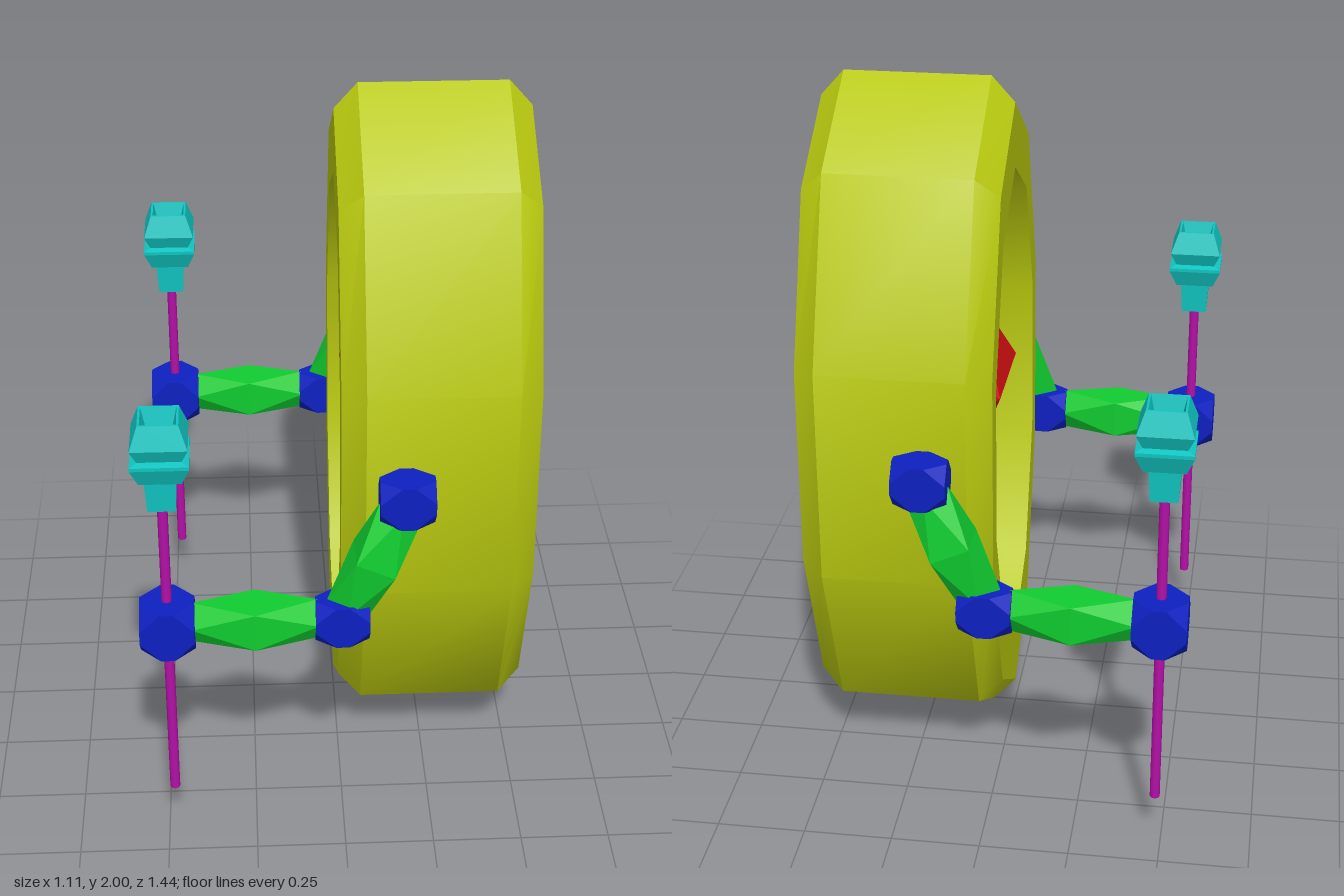
import * as THREE from 'three';
import { toCreasedNormals } from 'three/addons/utils/BufferGeometryUtils.js';
import { ConvexGeometry } from 'three/addons/geometries/ConvexGeometry.js';

const paint = (color, flatShading = true) => new THREE.MeshStandardMaterial({ color, flatShading });
const yellow = paint(0xb8c80f, false);
const red = paint(0xcc0f10);
const blue = paint(0x0d20c0);
const green = paint(0x10cc30);
const cyan = paint(0x10c4c0);
const magenta = paint(0xb510a8, false);

function part(parent, name, geometry, material, x, y, z = 0) {
  const mesh = new THREE.Mesh(geometry, material);
  mesh.name = name;
  mesh.position.set(x, y, z);
  parent.add(mesh);
  return mesh;
}

// Ten-sided oval ring along x, with chamfered outer rims
function ringGeometry() {
  const OUT = 1, RIM = 0.927, HOLE = 0.742;
  const profile = [[RIM, 0], [OUT, 0.065], [OUT, 0.475], [RIM, 0.54], [HOLE, 0.54], [HOLE, 0], [RIM, 0]];
  const geo = new THREE.LatheGeometry(profile.map(p => new THREE.Vector2(...p)), 10, Math.PI / 2);
  geo.rotateZ(-Math.PI / 2);
  // Narrow each loop in depth to its own half-width
  const pos = geo.attributes.position;
  for (let i = 0; i < pos.count; i++) {
    const r = Math.hypot(pos.getY(i), pos.getZ(i));
    const depth = r > 0.96 ? 0.537 : r > 0.85 ? 0.478 : 0.405;
    pos.setZ(i, pos.getZ(i) * depth / r);
  }
  return toCreasedNormals(geo, THREE.MathUtils.degToRad(40));
}

// Box with its corners cut off
function jointGeometry(w, h, d) {
  const k = 0.25, points = [];
  for (const a of [-1, 1]) for (const b of [-1, 1]) for (const c of [-k, k]) {
    for (const [x, y, z] of [[a, b, c], [a, c, b], [c, a, b]]) {
      points.push(new THREE.Vector3(x * w / 2, y * h / 2, z * d / 2));
    }
  }
  return new ConvexGeometry(points);
}

// Faceted limb along x: diamond ends joined to a wide square middle
function limbGeometry(half) {
  const verts = [], index = [];
  for (const x of [-half, 0, half]) {
    const section = x === 0
      ? [[0.057, 0.063], [-0.057, 0.063], [-0.057, -0.063], [0.057, -0.063]]
      : [[0.063, 0], [0, 0.04], [-0.063, 0], [0, -0.04]];
    for (const [y, z] of section) verts.push(x, y, z);
  }
  for (let i = 0; i < 4; i++) {
    const j = (i + 1) % 4, m = 4 + i, n = 4 + j, e = 8 + i, f = 8 + j;
    index.push(i, j, m, m, j, n, e, m, f, m, n, f);
  }
  index.push(0, 2, 1, 0, 3, 2, 8, 9, 10, 8, 10, 11);
  // Corners run clockwise seen from +x, so reverse every face
  index.reverse();
  const geo = new THREE.BufferGeometry();
  geo.setAttribute('position', new THREE.Float32BufferAttribute(verts, 3));
  geo.setIndex(index);
  const limb = geo.toNonIndexed();
  limb.computeVertexNormals();
  // Check orientation: the first face must point away from the axis
  const p = limb.attributes.position, nrm = limb.attributes.normal;
  let out = 0;
  for (let i = 0; i < p.count; i++) out += p.getY(i) * nrm.getY(i) + p.getZ(i) * nrm.getZ(i);
  if (out < 0) {
    geo.setIndex(index.reverse());
    const flipped = geo.toNonIndexed();
    flipped.computeVertexNormals();
    return flipped;
  }
  return limb;
}

// Square stepped head with a recess in the top
function headGeometry() {
  const profile = [
    [0, 1.085], [0.037, 1.085], [0.043, 1.18], [0.056, 1.18], [0.077, 1.232], [0.077, 1.242],
    [0.058, 1.248], [0.075, 1.288], [0.053, 1.352], [0.047, 1.352], [0.035, 1.3], [0, 1.3],
  ];
  const points = profile.map(([r, y]) => new THREE.Vector2(r * Math.SQRT2, y));
  return toCreasedNormals(new THREE.LatheGeometry(points, 4, Math.PI / 4), 0.1);
}

// Jointed arm holding a pole with a head on it
function createArm() {
  const arm = new THREE.Group();
  const hand = [-0.48, 0.705], elbow = [-0.006, 0.707], shoulder = [0.165, 1.08];
  part(arm, 'handJoint', jointGeometry(0.148, 0.148, 0.148), blue, ...hand);
  part(arm, 'elbowJoint', jointGeometry(0.147, 0.125, 0.107), blue, ...elbow);
  part(arm, 'shoulderJoint', jointGeometry(0.147, 0.127, 0.107), blue, ...shoulder);
  for (const [name, a, b] of [['forearm', hand, elbow], ['upperArm', elbow, shoulder]]) {
    const limb = part(arm, name, limbGeometry(0.172), green, (a[0] + b[0]) / 2, (a[1] + b[1]) / 2);
    limb.rotation.z = Math.atan2(b[1] - a[1], b[0] - a[0]);
  }
  part(arm, 'pole', new THREE.CylinderGeometry(0.014, 0.014, 0.96, 8), magenta, hand[0], 0.62);
  part(arm, 'poleHead', headGeometry(), cyan, hand[0], 0);
  return arm;
}

export function createModel() {
  const model = new THREE.Group();
  model.name = 'ringWithArms';
  part(model, 'ring', ringGeometry(), yellow, 0, 1);
  part(model, 'core', new THREE.IcosahedronGeometry(0.31), red, 0.287, 1.1, 0.017);
  for (const side of [-1, 1]) {
    const arm = createArm();
    arm.name = side > 0 ? 'frontArm' : 'backArm';
    arm.position.z = side * 0.641;
    model.add(arm);
  }
  return model;
}
